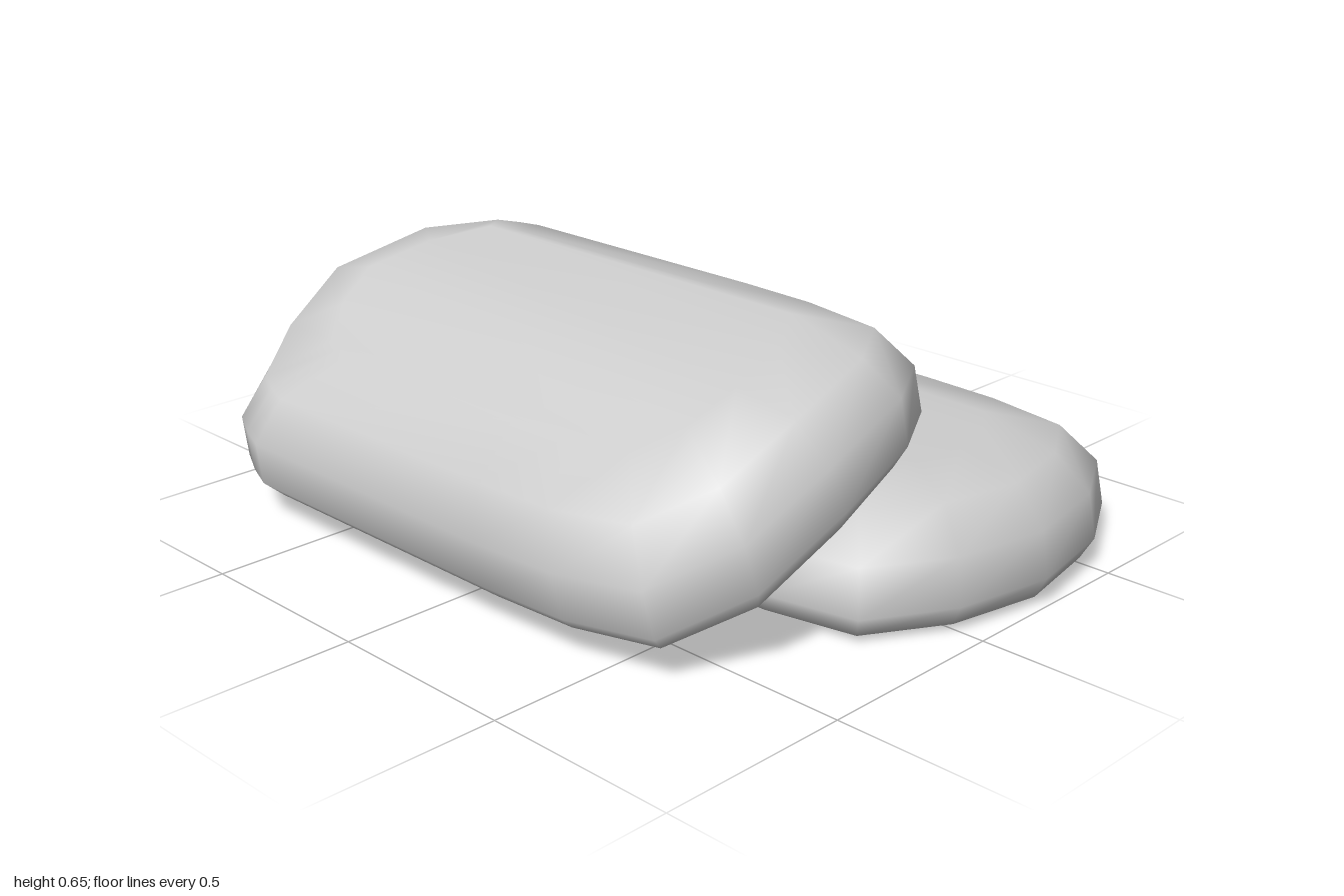
import * as THREE from 'three';

const HALF_X = 0.91, HALF_Z = 0.53, THICK = 0.325;

// Plan outline of a cushion, counterclockwise from above: left side, then right side.
const left = [[-0.61, -0.53], [-0.68, -0.51], [-0.75, -0.48], [-0.87, -0.27], [-0.91, 0],
  [-0.87, 0.26], [-0.75, 0.47], [-0.68, 0.505], [-0.61, 0.53]];
const right = [[0.25, 0.53], [0.5, 0.52], [0.74, 0.47], [0.86, 0.26], [0.91, 0],
  [0.86, -0.27], [0.75, -0.47], [0.49, -0.52], [0.25, -0.53]];
const outline = [...left, ...right];

// Rings from bottom to top: inset from the outline, height.
const rings = [[0.3, 0.003], [0.15, 0.005], [0.03, 0.02], [0, 0.075], [0.018, 0.19],
  [0.1, 0.285], [0.26, THICK]];

// Bend of the leaning cushion: v along depth, base (z, y), top (z, y).
const bend = [
  [-0.53, -0.245, 0.335, -0.245, 0.66],
  [-0.24, 0.03, 0.33, 0.03, 0.65],
  [0, 0.25, 0.27, 0.34, 0.58],
  [0.24, 0.45, 0.14, 0.55, 0.455],
  [0.53, 0.71, 0.03, 0.82, 0.335],
];

function bendPoint(v, h) {
  let i = 0;
  while (i < bend.length - 2 && v > bend[i + 1][0]) i++;
  const a = bend[i], b = bend[i + 1];
  const t = (v - a[0]) / (b[0] - a[0]);
  const at = (k) => a[k] + (b[k] - a[k]) * t;
  const s = h / THICK;
  return [at(1) + (at(3) - at(1)) * s, at(2) + (at(4) - at(2)) * s];
}

// Stacks the inset outlines and closes both ends with rows; place(v, h) returns [z, y].
function cushionGeometry(place) {
  const positions = [], index = [], n = outline.length;
  for (const [inset, h] of rings) {
    for (const [x, v] of outline) {
      const [z, y] = place(v * (1 - inset / HALF_Z), h);
      positions.push(x * (1 - inset / HALF_X), y, z);
    }
  }
  const quad = (a, b, c, d) => index.push(a, b, c, a, c, d);
  for (let k = 0; k < rings.length - 1; k++) {
    for (let i = 0; i < n; i++) {
      const j = (i + 1) % n;
      quad(k * n + i, k * n + j, (k + 1) * n + j, (k + 1) * n + i);
    }
  }
  const top = (rings.length - 1) * n;
  for (let i = 0; i < left.length - 1; i++) {
    const r = n - 1 - i;
    quad(top + i, top + i + 1, top + r - 1, top + r);
    quad(i, r, r - 1, i + 1);
  }
  const geometry = new THREE.BufferGeometry();
  geometry.setAttribute('position', new THREE.Float32BufferAttribute(positions, 3));
  geometry.setIndex(index);
  geometry.computeVertexNormals();
  return geometry;
}

export function createModel() {
  const model = new THREE.Group();
  model.name = 'cushions';
  const fabric = new THREE.MeshStandardMaterial({ color: 0xcccccc });
  fabric.name = 'lightGreyFabric';

  // Flat cushion lying on the ground
  const lower = new THREE.Mesh(cushionGeometry((v, h) => [v - 0.238, h]), fabric);
  lower.name = 'lowerCushion';
  lower.position.x = 0.09;

  // Bent cushion draped over its front edge
  const upper = new THREE.Mesh(cushionGeometry(bendPoint), fabric);
  upper.name = 'upperCushion';
  upper.position.x = -0.092;

  model.add(lower, upper);
  return model;
}
